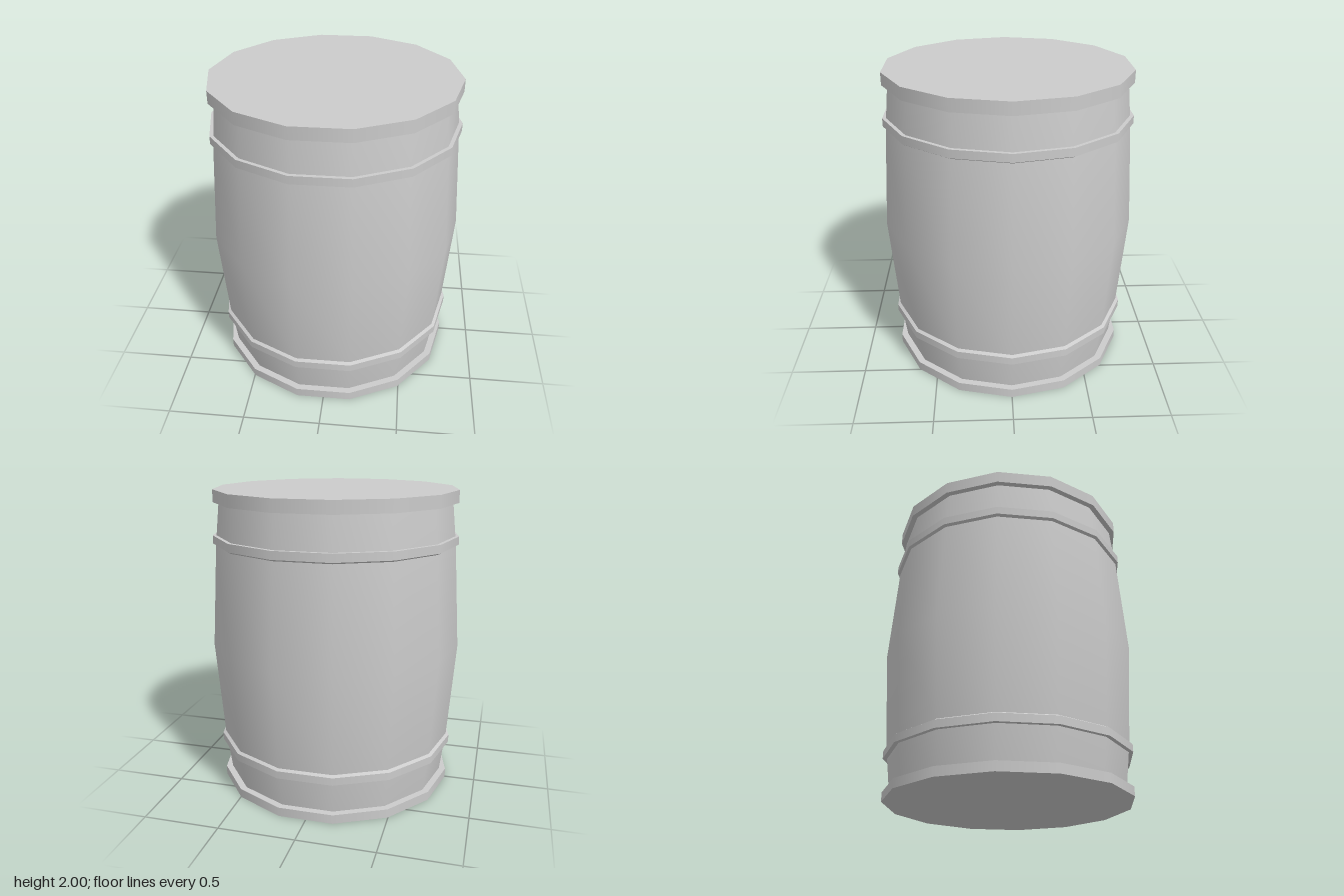
import * as THREE from 'three';
import { mergeGeometries } from 'three/addons/utils/BufferGeometryUtils.js';

const SIDES = 14;
const material = new THREE.MeshStandardMaterial({ color: 0xcccccc });

// Turns a bottom-to-top profile of [radius, y] into a 14-sided ring.
// Each span is lathed alone, so it is smooth around and sharp at its edges.
function turned(name, profile) {
  const spans = [];
  for (let i = 0; i < profile.length - 1; i++) {
    const points = [profile[i], profile[i + 1]].map(([r, y]) => new THREE.Vector2(r, y));
    spans.push(new THREE.LatheGeometry(points, SIDES, Math.PI / 2));
  }
  const mesh = new THREE.Mesh(mergeGeometries(spans), material);
  mesh.name = name;
  return mesh;
}

export function createModel() {
  const group = new THREE.Group();
  group.name = 'barrel';

  // Bulging staves, smooth along their whole height
  const stavePoints = [
    [0.752, 0.05], [0.788, 0.335], [0.835, 0.98], [0.79, 1.65], [0.76, 1.93],
  ].map(([r, y]) => new THREE.Vector2(r, y));
  const staves = new THREE.Mesh(new THREE.LatheGeometry(stavePoints, SIDES, Math.PI / 2), material);
  staves.name = 'staves';
  group.add(staves);

  // End rims, closed by flat heads
  group.add(turned('bottomRim', [[0, 0], [0.797, 0], [0.797, 0.06], [0.74, 0.06]]));
  group.add(turned('topRim', [[0.75, 1.92], [0.797, 1.92], [0.797, 2], [0, 2]]));

  // Raised hoops, chamfered on the side facing the middle
  group.add(turned('lowerHoop', [[0.77, 0.275], [0.808, 0.275], [0.808, 0.325], [0.785, 0.338]]));
  group.add(turned('upperHoop', [[0.785, 1.645], [0.808, 1.658], [0.808, 1.71], [0.77, 1.71]]));

  return group;
}
